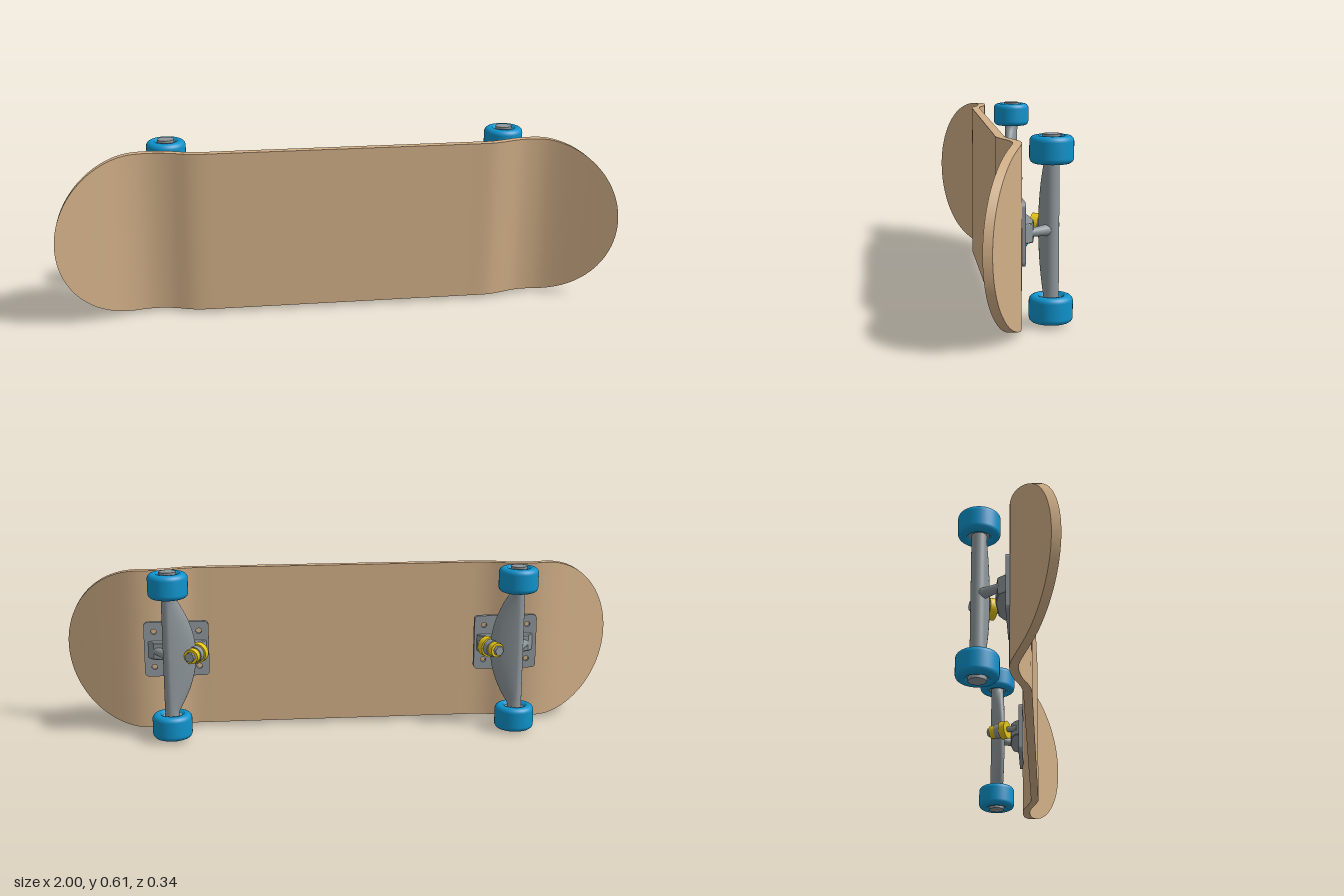
import * as THREE from 'three';

const mat = (color) => new THREE.MeshStandardMaterial({ color });
const wood = mat(0xd2b088), metal = mat(0x8f979c), blue = mat(0x0e93cc), yellow = mat(0xe6c619);

function add(parent, name, geometry, material, x = 0, y = 0, z = 0) {
  const mesh = new THREE.Mesh(geometry, material);
  mesh.name = name;
  mesh.position.set(x, y, z);
  parent.add(mesh);
  return mesh;
}

// Back surface of the deck: [x, z], kicked up at both ends
const PROFILE = [[-1, 0.137], [-0.88, 0.078], [-0.775, 0.027], [-0.71, 0.006], [-0.66, 0.002], [-0.6, 0.011],
  [-0.54, 0.032], [-0.49, 0.039], [-0.42, 0.039], [0.48, 0.039], [0.55, 0.038], [0.6, 0.024], [0.65, 0.007],
  [0.7, 0.002], [0.76, 0.011], [0.86, 0.052], [1, 0.118]];

// Smooth interpolation of the profile
function deckZ(x) {
  const p = PROFILE;
  const slope = (i) => {
    const a = p[Math.max(i - 1, 0)], b = p[Math.min(i + 1, p.length - 1)];
    return (b[1] - a[1]) / (b[0] - a[0]);
  };
  let i = 0;
  while (i < p.length - 2 && x > p[i + 1][0]) i++;
  const w = p[i + 1][0] - p[i][0], t = (x - p[i][0]) / w;
  if (w > 0.5) return p[i][1];
  const t2 = t * t, t3 = t2 * t;
  return (2 * t3 - 3 * t2 + 1) * p[i][1] + (t3 - 2 * t2 + t) * w * slope(i)
    + (3 * t2 - 2 * t3) * p[i + 1][1] + (t3 - t2) * w * slope(i + 1);
}

// Deck: four strips run along the length, with sharp edges between them
function deckGeometry() {
  const END = 0.275, HALF = 0.29, THICK = 0.029, N = 24, xs = [];
  for (let i = 0; i <= N; i++) xs.push(-1 + END * (1 - Math.cos((i / N) * Math.PI / 2)));
  for (let i = 1; i < 60; i++) xs.push((1 - END) * (i / 30 - 1));
  for (let i = N; i >= 0; i--) xs.push(1 - END * (1 - Math.cos((i / N) * Math.PI / 2)));
  const rings = xs.map((x) => {
    const u = Math.max(0, (Math.abs(x) - 1 + END) / END);
    const h = HALF * Math.sqrt(Math.max(0, 1 - u * u)), z = deckZ(x);
    return [[x, -h, z], [x, h, z], [x, h, z + THICK], [x, -h, z + THICK]];
  });
  const pos = [], idx = [];
  for (let k = 0; k < 4; k++) {
    const base = pos.length / 3;
    rings.forEach((r, i) => {
      pos.push(...r[k], ...r[(k + 1) % 4]);
      if (i === 0) return;
      const a = base + 2 * (i - 1);
      idx.push(a, a + 1, a + 2, a + 1, a + 3, a + 2);
    });
  }
  const g = new THREE.BufferGeometry();
  g.setAttribute('position', new THREE.Float32BufferAttribute(pos, 3));
  g.setIndex(idx);
  g.computeVertexNormals();
  return g;
}

// Base plate with rounded corners and four bolt holes
function plateGeometry() {
  const w = 0.115, h = 0.1, r = 0.015, s = new THREE.Shape();
  s.absarc(w - r, h - r, r, 0, Math.PI / 2);
  s.absarc(r - w, h - r, r, Math.PI / 2, Math.PI);
  s.absarc(r - w, r - h, r, Math.PI, Math.PI * 1.5);
  s.absarc(w - r, r - h, r, Math.PI * 1.5, Math.PI * 2);
  for (const x of [-0.08, 0.08]) for (const y of [-0.065, 0.065]) {
    s.holes.push(new THREE.Path().absarc(x, y, 0.01, 0, Math.PI * 2, true));
  }
  return new THREE.ExtrudeGeometry(s, { depth: 0.016, bevelEnabled: false, curveSegments: 8 });
}

// Raised block on the base plate, its side profile extruded across y
function blockGeometry() {
  const pts = [[-0.105, 0.006], [0.1, 0.006], [0.078, 0.033], [0.02, 0.042], [-0.07, 0.036], [-0.095, 0.022]];
  const s = new THREE.Shape(pts.map((p) => new THREE.Vector2(...p)));
  const g = new THREE.ExtrudeGeometry(s, { depth: 0.056, bevelEnabled: true, bevelSize: 0.003, bevelThickness: 0.003, bevelSegments: 1 });
  return g.translate(0, 0, -0.028).rotateX(-Math.PI / 2);
}

// Hanger: a round bar whose inner side bulges into a fin at the middle
function hangerGeometry() {
  const R = 0.025, g = new THREE.CylinderGeometry(R, R, 0.44, 32, 40);
  const p = g.attributes.position;
  for (let i = 0; i < p.count; i++) {
    const y = p.getY(i), c = Math.max(0, -p.getX(i) / R), t = Math.min(1, Math.abs(y) / 0.205);
    const fin = 1 - t * t;
    p.setX(i, p.getX(i) - 0.065 * fin * c);
    p.setZ(i, p.getZ(i) + 0.022 * Math.sqrt(fin) * c);
  }
  g.computeVertexNormals();
  return g;
}

// Wheel: rounded tyre with a recessed bore on both faces
function wheelGeometry() {
  const h = 0.044, R = 0.07, b = 0.018, pts = [[0.034, -h + 0.012], [0.042, -h]];
  for (const s of [-1, 1]) for (let i = 0; i <= 6; i++) {
    const a = (s < 0 ? i - 6 : i) / 6 * Math.PI / 2;
    pts.push([R - b + b * Math.cos(a), s * (h - b) + b * Math.sin(a)]);
  }
  pts.push([0.042, h], [0.034, h - 0.012]);
  return new THREE.LatheGeometry(pts.map((p) => new THREE.Vector2(...p)), 48);
}

const cyl = (r, h, n = 28) => new THREE.CylinderGeometry(r, r, h, n);

function truck(name) {
  const g = new THREE.Group();
  g.name = name;
  const AX = 0.02, AZ = -0.1, up = new THREE.Vector3(0, 1, 0);
  add(g, 'basePlate', plateGeometry(), metal, 0, 0, -0.009);
  add(g, 'baseBlock', blockGeometry(), metal);
  add(g, 'hanger', hangerGeometry(), metal, AX, 0, AZ);
  add(g, 'axle', cyl(0.014, 0.59), metal, AX, 0, AZ);

  // Pivot arm reaching from the hanger into the base
  const from = new THREE.Vector3(AX, 0, AZ), to = new THREE.Vector3(0.072, 0, -0.026);
  const arm = add(g, 'pivotArm', new THREE.CylinderGeometry(0.013, 0.02, from.distanceTo(to), 20), metal);
  arm.position.copy(from).lerp(to, 0.5);
  arm.quaternion.setFromUnitVectors(up, to.clone().sub(from).normalize());

  // Leaning kingpin with bushings either side of the hanger ring
  const pin = new THREE.Group();
  pin.name = 'kingpinAssembly';
  pin.position.set(-0.066, 0, -0.087);
  pin.quaternion.setFromUnitVectors(up, new THREE.Vector3(0.4, 0, -0.9165).normalize());
  g.add(pin);
  add(pin, 'kingpin', cyl(0.011, 0.125, 16), metal, 0, -0.016);
  add(pin, 'lowerBushing', cyl(0.036, 0.026), yellow, 0, -0.024);
  add(pin, 'hangerRing', cyl(0.03, 0.024), metal);
  add(pin, 'upperBushing', cyl(0.026, 0.024), yellow, 0, 0.023);
  add(pin, 'kingpinNut', cyl(0.018, 0.014, 6), metal, 0, 0.041);

  // Wheels, bearings and axle nuts at both ends
  for (const s of [-1, 1]) {
    add(g, 'wheel', wheelGeometry(), blue, AX, s * 0.254, AZ);
    add(g, 'bearing', cyl(0.0345, 0.07), metal, AX, s * 0.254, AZ);
    add(g, 'axleNut', cyl(0.03, 0.016, 12), metal, AX, s * 0.295, AZ);
  }
  return g;
}

export function createModel() {
  const model = new THREE.Group();
  model.name = 'skateboard';
  add(model, 'deck', deckGeometry(), wood, 0, 0.303, 0);
  const left = truck('leftTruck');
  left.position.set(0.606, 0.308, 0);
  const right = truck('rightTruck');
  right.position.set(-0.588, 0.303, 0);
  right.rotation.z = Math.PI;
  model.add(left, right);
  return model;
}
